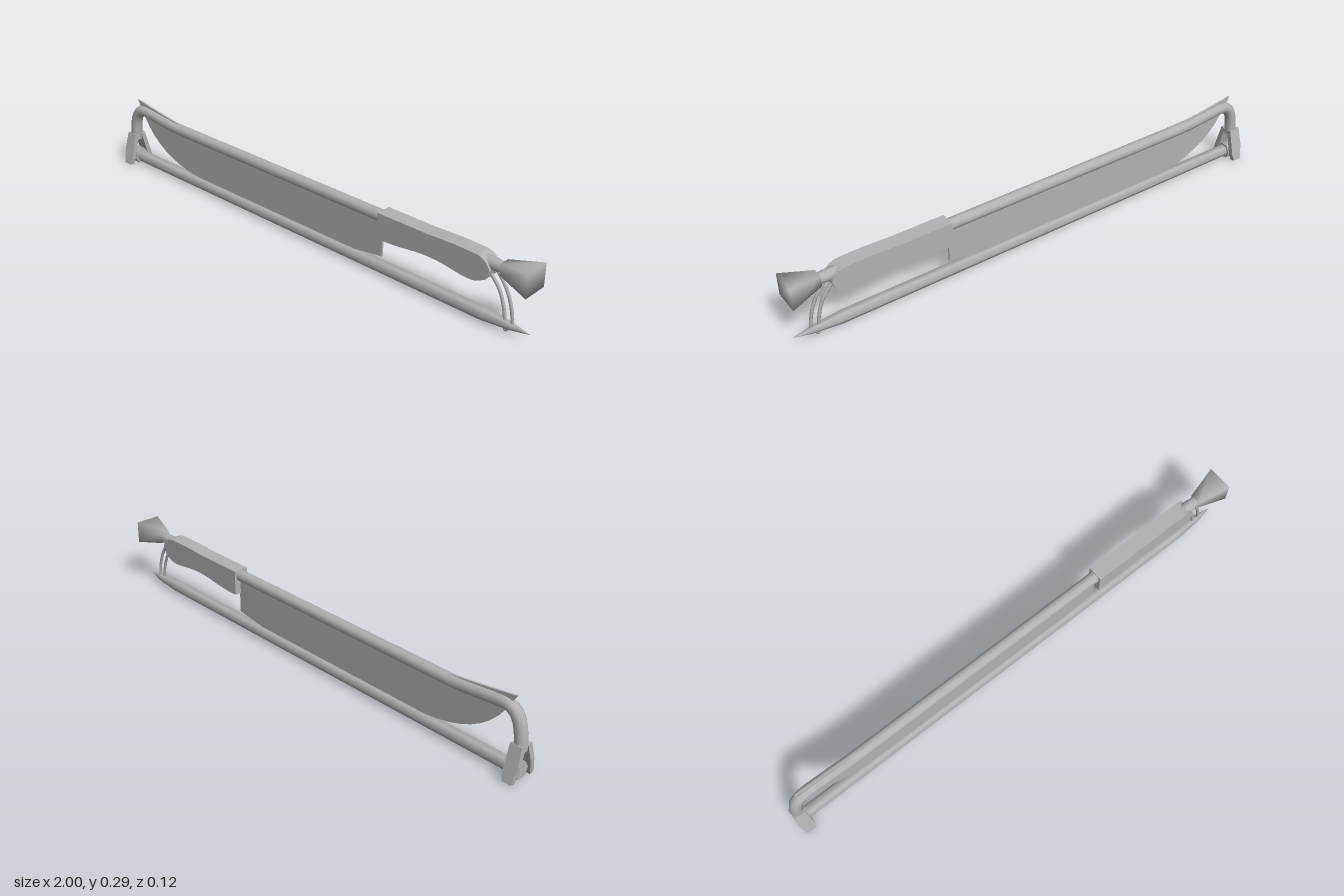
import * as THREE from 'three';
import { mergeVertices } from 'three/addons/utils/BufferGeometryUtils.js';

const steel = new THREE.MeshStandardMaterial({ color: 0xb2b2b2 });
steel.name = 'grey steel';

export function createModel() {
  const model = new THREE.Group();
  const add = (name, geometry, x = 0, y = 0, z = 0) => {
    const mesh = new THREE.Mesh(geometry, steel);
    mesh.name = name;
    mesh.position.set(x, y, z);
    model.add(mesh);
    return mesh;
  };
  const V = (x, y, z = 0) => new THREE.Vector3(x, y, z);
  // Cylinder lying along x, from x0 to x1
  const rod = (name, x0, x1, y, r0, r1, sides) =>
    add(name, new THREE.CylinderGeometry(r1, r0, x1 - x0, sides).rotateZ(-Math.PI / 2), (x0 + x1) / 2, y);
  // Flat outline extruded evenly about z = 0
  const plate = (name, shape, depth) =>
    add(name, new THREE.ExtrudeGeometry(shape, { depth, bevelEnabled: false, curveSegments: 8 }).translate(0, 0, -depth / 2));

  // Upper bar: straight run, slight rise, then a hook down to the claw
  const path = new THREE.CurvePath();
  path.add(new THREE.LineCurve3(V(0.86, 0.232), V(-0.66, 0.232)));
  path.add(new THREE.CubicBezierCurve3(V(-0.66, 0.232), V(-0.75, 0.232), V(-0.82, 0.246), V(-0.89, 0.25)));
  path.add(new THREE.CubicBezierCurve3(V(-0.89, 0.25), V(-0.95, 0.253), V(-0.968, 0.21), V(-0.972, 0.11)));
  add('upperBar', new THREE.TubeGeometry(path, 120, 0.023, 10, false));

  // Blade with a curved belly and an upswept tip
  const blade = new THREE.Shape();
  blade.moveTo(0.39, 0.235);
  blade.lineTo(0.39, 0.075);
  blade.lineTo(0.26, 0.056);
  blade.lineTo(-0.58, 0.056);
  blade.bezierCurveTo(-0.74, 0.07, -0.84, 0.13, -0.895, 0.215);
  blade.lineTo(-0.942, 0.292);
  blade.quadraticCurveTo(-0.8, 0.268, -0.64, 0.25);
  blade.lineTo(-0.6, 0.235);
  plate('blade', blade, 0.007);

  // Handle grip with a wavy underside
  const grip = new THREE.Shape();
  grip.moveTo(0.385, 0.157);
  grip.bezierCurveTo(0.5, 0.155, 0.53, 0.175, 0.62, 0.174);
  grip.bezierCurveTo(0.7, 0.173, 0.75, 0.15, 0.8, 0.162);
  grip.lineTo(0.835, 0.18);
  grip.lineTo(0.848, 0.215);
  grip.quadraticCurveTo(0.84, 0.25, 0.8, 0.258);
  grip.quadraticCurveTo(0.72, 0.263, 0.6, 0.256);
  grip.lineTo(0.385, 0.256);
  plate('handle', grip, 0.06);

  // Neck and square flared pommel
  rod('neck', 0.82, 0.885, 0.232, 0.024, 0.02, 10);
  let flare = new THREE.BoxGeometry(0.12, 2, 2);
  const p = flare.attributes.position;
  for (let i = 0; i < p.count; i++) {
    const wide = p.getX(i) > 0;
    p.setY(i, p.getY(i) * (wide ? 0.044 : 0.02));
    p.setZ(i, p.getZ(i) * (wide ? 0.051 : 0.021));
  }
  flare.deleteAttribute('normal');
  flare.deleteAttribute('uv');
  flare = mergeVertices(flare);
  flare.computeVertexNormals();
  add('pommel', flare, 0.94, 0.233);

  // Lower hexagonal bar with a spike, and the nut at its far end
  rod('lowerBar', -0.96, 0.82, 0.034, 0.024, 0.024, 6);
  rod('spikeShoulder', 0.82, 0.93, 0.034, 0.024, 0.014, 6);
  rod('spikeTip', 0.93, 1, 0.034, 0.014, 0.0005, 6);
  rod('nut', -0.985, -0.945, 0.034, 0.033, 0.033, 6);

  // Splayed claw legs, narrowing a little at the foot
  const leg = new THREE.Shape();
  [[-0.023, 0.066], [-0.026, 0], [-0.018, -0.066], [0.018, -0.066], [0.024, -0.04], [0.024, 0.066]]
    .forEach(([x, y], i) => (i ? leg.lineTo(x, y) : leg.moveTo(x, y)));
  for (const side of [1, -1]) {
    const geometry = new THREE.ExtrudeGeometry(leg, { depth: 0.019, bevelEnabled: false }).translate(0, 0, -0.0095);
    const mesh = add(side > 0 ? 'frontClawLeg' : 'rearClawLeg', geometry, -0.972, 0.07, side * 0.033);
    mesh.rotation.x = -side * 0.26;
  }

  // Two bowed wires tying the handle to the spike
  const wires = [
    [V(0.835, 0.195), V(0.875, 0.145), V(0.898, 0.08), V(0.908, 0.01)],
    [V(0.855, 0.22), V(0.9, 0.16), V(0.926, 0.09), V(0.93, 0.035), V(0.908, 0.01)],
  ];
  wires.forEach((points, i) =>
    add(i ? 'outerWire' : 'innerWire', new THREE.TubeGeometry(new THREE.CatmullRomCurve3(points), 20, 0.006, 6, false)));

  return model;
}
